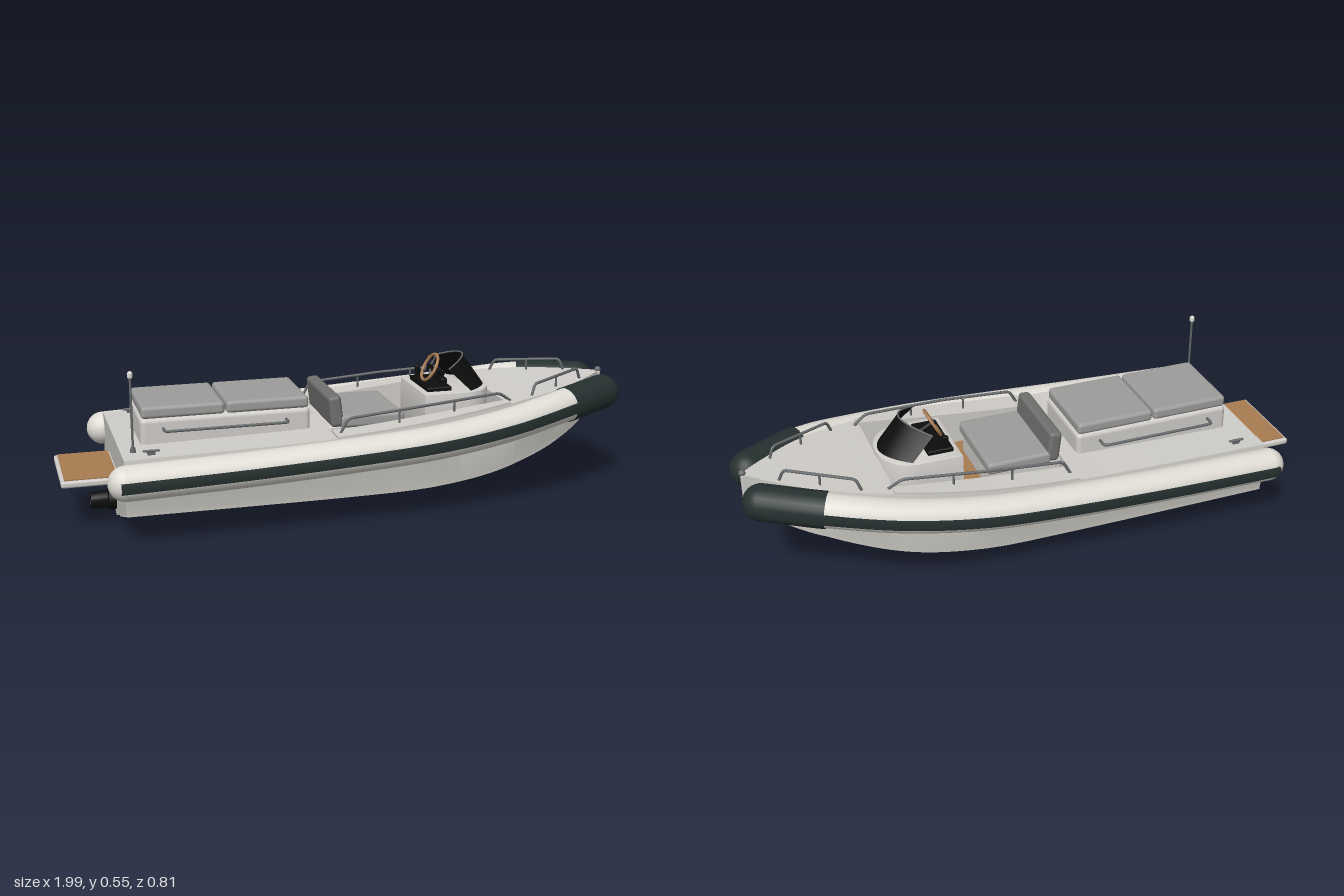
import * as THREE from 'three';
import { toCreasedNormals } from 'three/addons/utils/BufferGeometryUtils.js';
import { RoundedBoxGeometry } from 'three/addons/geometries/RoundedBoxGeometry.js';

const V = (x, y, z) => new THREE.Vector3(x, y, z);
const mat = (name, color, double) => {
  const m = new THREE.MeshStandardMaterial({ color });
  m.name = name;
  if (double) m.side = THREE.DoubleSide;
  return m;
};

// Smooth interpolation through [x, value] pairs
function spline(p) {
  const slope = i => {
    const a = p[Math.max(i - 1, 0)], b = p[Math.min(i + 1, p.length - 1)];
    return (b[1] - a[1]) / (b[0] - a[0]);
  };
  return x => {
    let i = 0;
    while (i < p.length - 2 && x > p[i + 1][0]) i++;
    const h = p[i + 1][0] - p[i][0], t = (x - p[i][0]) / h, u = 1 - t;
    return p[i][1] * u * u * (1 + 2 * t) + slope(i) * h * t * u * u
      + p[i + 1][1] * t * t * (3 - 2 * t) - slope(i + 1) * h * t * t * u;
  };
}
const steps = (a, b, n) => Array.from({ length: n + 1 }, (_, i) => a + (b - a) * i / n);

// Surface through rows of points
function loft(rows, crease = 0.35) {
  const n = rows[0].length, index = [];
  for (let i = 0; i < rows.length - 1; i++) for (let j = 0; j < n - 1; j++) {
    const a = i * n + j, b = a + n;
    index.push(a, a + 1, b, b, a + 1, b + 1);
  }
  const g = new THREE.BufferGeometry().setFromPoints(rows.flat());
  g.setIndex(index);
  return toCreasedNormals(g, crease);
}

// Lines of the boat
const tubeY = spline([[-.81, .218], [-.4, .233], [0, .254], [.25, .271], [.5, .297], [.74, .33], [.94, .339]]);
const tubeZ = spline([[-.81, .33], [-.4, .336], [0, .338], [.25, .329], [.5, .289], [.74, .215], [.93, .108]]);
const keelY = spline([[-.81, 0], [0, 0], [.2, .001], [.4, .012], [.6, .045], [.75, .1], [.87, .18], [.93, .24], [.96, .285]]);
const chineZ = spline([[-.81, .3], [0, .3], [.25, .298], [.5, .262], [.75, .165], [.9, .062], [.96, .003]]);
const chineY = spline([[-.81, .1], [0, .1], [.25, .11], [.5, .142], [.75, .205], [.9, .258], [.96, .288]]);
const deckW = spline([[-.81, .3], [0, .3], [.25, .293], [.5, .255], [.74, .17], [.9, .062], [.96, .012]]);
const deckY = spline([[-.81, .283], [-.1, .3], [.2, .325], [.52, .36], [.75, .378], [.96, .39]]);

// Half section with spray strakes and a chine flat
function hullSection(x) {
  const k = keelY(x), c = chineY(x), zc = chineZ(x), w = deckW(x);
  const flare = .02 * Math.min(1, Math.max(0, (.96 - x) / .3));
  const half = [[0, 0], [.36, .36], [.41, .36], [.41, .41], [.64, .64], [.69, .64], [.69, .69], [.94, .94], [1, .94]]
    .map(([t, u]) => V(x, k + (c - k) * u, zc * t));
  half.push(V(x, c + .008, zc), V(x, tubeY(x) - .02, w + flare), V(x, deckY(x), w));
  return [...half.slice(1).reverse().map(p => V(p.x, p.y, -p.z)), ...half];
}

export function createModel() {
  const hullGrey = mat('hull grey', 0xc6c4be, true), tubeWhite = mat('tube white', 0xdedbd4);
  const deckGrey = mat('deck grey', 0xd0cdc9, true), cushionGrey = mat('cushion grey', 0x9c9c9b);
  const teak = mat('teak', 0xa97c52), rubber = mat('dark rubber', 0x25302f, true);
  const black = mat('black', 0x0d0d0e, true), steel = mat('steel', 0x66696b);
  const backGrey = mat('backrest grey', 0x70716f);

  const boat = new THREE.Group();
  boat.name = 'inflatableBoat';
  const add = (name, geo, m, x = 0, y = 0, z = 0, parent = boat) => {
    const mesh = new THREE.Mesh(geo, m);
    mesh.name = name;
    mesh.position.set(x, y, z);
    parent.add(mesh);
    return mesh;
  };
  // Box given by its limits
  const box = (name, m, x0, x1, y0, y1, z0, z1, r = 0) => add(name,
    r ? new RoundedBoxGeometry(x1 - x0, y1 - y0, z1 - z0, 3, r) : new THREE.BoxGeometry(x1 - x0, y1 - y0, z1 - z0),
    m, (x0 + x1) / 2, (y0 + y1) / 2, (z0 + z1) / 2);
  // Bent pipe with short rounded corners
  const pipe = (name, pts, r, m = steel) => {
    const path = new THREE.CurvePath();
    let last = pts[0];
    for (let i = 1; i < pts.length - 1; i++) {
      const a = pts[i].clone().add(pts[i - 1].clone().sub(pts[i]).setLength(.014));
      const b = pts[i].clone().add(pts[i + 1].clone().sub(pts[i]).setLength(.014));
      path.add(new THREE.LineCurve3(last, a));
      path.add(new THREE.QuadraticBezierCurve3(a, pts[i], b));
      last = b;
    }
    path.add(new THREE.LineCurve3(last, pts[pts.length - 1]));
    return add(name, new THREE.TubeGeometry(path, pts.length > 2 ? 60 : 2, r, 8), m);
  };

  // Hull, transom and stem
  add('hull', loft([...steps(-.81, .3, 16), ...steps(.34, .96, 28)].map(hullSection)), hullGrey);
  const outline = hullSection(-.81).map(p => new THREE.Vector2(p.z, p.y));
  add('transom', new THREE.ShapeGeometry(new THREE.Shape(outline)).rotateY(-Math.PI / 2), hullGrey, -.81);
  box('stemPost', deckGrey, .945, .972, .283, .39, -.012, .012, .004);
  add('bowRoller', new THREE.SphereGeometry(.012, 12, 8), steel, .966, .393, 0);

  // Decks and sunken cockpit
  const A = -.105, B = .52, C = .217, floor = .21;
  const flat = x => [V(x, deckY(x), deckW(x)), V(x, deckY(x), -deckW(x))];
  add('aftDeck', loft(steps(-.81, A, 10).map(flat)), deckGrey);
  add('foredeck', loft(steps(B, .96, 16).map(flat)), deckGrey);
  box('cockpitFloor', teak, A, B, floor - .01, floor, -C, C);
  for (const [x, name] of [[A, 'aftBulkhead'], [B, 'forwardBulkhead']])
    box(name, deckGrey, x - .004, x + .004, floor - .01, deckY(x), -C, C);

  for (const s of [1, -1]) {
    const side = s > 0 ? 'left' : 'right';
    // Side decks
    add(side + 'Coaming', loft(steps(A, B, 14).map(x => {
      const y = deckY(x), w = deckW(x);
      return [V(x, y - .01, s * w), V(x, y + .007, s * w), V(x, y + .007, s * C), V(x, floor - .01, s * C)];
    })), deckGrey);
    for (const x of [A, B]) box(side + 'CoamingEnd', deckGrey, x - .002, x + .002, deckY(x) - .02, deckY(x) + .007,
      Math.min(s * C, s * deckW(x)), Math.max(s * C, s * deckW(x)));

    // Buoyancy tube with dark bow end
    const centre = x => V(x, tubeY(x), s * tubeZ(x));
    const run = (a, b, n) => new THREE.CatmullRomCurve3(steps(a, b, n).map(centre));
    add(side + 'Tube', new THREE.TubeGeometry(run(-.81, .76, 16), 64, .058, 24), tubeWhite);
    add(side + 'TubeEnd', new THREE.SphereGeometry(.058, 24, 16), tubeWhite, ...centre(-.81).toArray());
    add(side + 'BowTube', new THREE.TubeGeometry(run(.74, .93, 6), 16, .062, 24), rubber);
    add(side + 'BowCap', new THREE.SphereGeometry(.062, 24, 16), rubber, ...centre(.93).toArray());

    // Rubbing strake along the outer side
    add(side + 'RubStrake', loft(steps(-.83, .9, 60).map(x => {
      const c = centre(x), t = centre(x + .005).sub(centre(x - .005)).setY(0).normalize();
      const out = V(-t.z * s, 0, t.x * s);
      return [[-.32, .054], [-.26, .066], [0, .067], [.26, .066], [.32, .054]].map(([a, r]) =>
        c.clone().addScaledVector(out, r * Math.cos(a)).add(V(0, r * Math.sin(a), 0)));
    }), .5), rubber);

    // Grab rails
    const on = (x, z, h) => V(x, deckY(x) + h, s * z);
    pipe(side + 'SideRail', [on(-.09, .258, 0), on(-.06, .256, .052), on(.2, .25, .05), on(.49, .222, .036), on(.535, .212, 0)], .005);
    for (const [x, z] of [[.12, .252], [.32, .238]]) pipe(side + 'SideRailPost', [on(x, z, 0), on(x, z, .046)], .004);
    pipe(side + 'BowRail', [on(.62, .2, 0), on(.635, .19, .038), on(.845, .078, .04), on(.86, .07, 0)], .005);
    pipe(side + 'BowRailPost', [on(.74, .134, 0), on(.74, .134, .038)], .004);
    pipe(side + 'LockerRail', [V(-.66, .336, s * .14), V(-.66, .336, s * .185), V(-.245, .336, s * .185), V(-.245, .336, s * .14)], .005);

    // Stern cleats
    box(side + 'CleatBase', steel, -.73, -.705, .28, .297, s * .262 - .004, s * .262 + .004);
    box(side + 'CleatBar', steel, -.745, -.69, .295, .302, s * .262 - .005, s * .262 + .005, .003);
  }

  // Engine locker with sunbed cushions
  box('engineLocker', deckGrey, -.735, -.16, .26, .372, -.145, .145, .018);
  box('aftCushion', cushionGrey, -.73, -.452, .368, .41, -.142, .142, .013);
  box('forwardCushion', cushionGrey, -.446, -.165, .368, .41, -.142, .142, .013);

  // Helm seat
  box('seatBase', deckGrey, -.1, .16, floor, .3, -.15, .15, .01);
  box('seatCushion', cushionGrey, -.06, .17, .29, .334, -.158, .158, .013);
  box('seatBack', backGrey, -.095, -.05, .295, .405, -.158, .158, .014).rotation.z = .12;

  // Console, rounded at the front
  const plan = new THREE.Shape();
  plan.moveTo(.255, -.133).lineTo(.41, -.133).bezierCurveTo(.55, -.12, .55, .12, .41, .133).lineTo(.255, .133).closePath();
  const consoleGeo = new THREE.ExtrudeGeometry(plan, { depth: .165, bevelEnabled: true, bevelSize: .004, bevelThickness: .006, bevelSegments: 2, curveSegments: 20 });
  add('console', toCreasedNormals(consoleGeo.rotateX(-Math.PI / 2), .6), deckGrey, 0, floor, 0);
  box('dashboard', black, .272, .362, .375, .396, -.1, .1, .006);
  box('instrumentPod', black, .34, .365, .39, .412, -.045, .045, .006);
  box('throttle', black, .285, .305, .39, .435, -.09, -.075, .005);

  // Windscreen and its rim
  const base = a => V(.508 - .085 * a * a, .382, .125 * a);
  const top = a => V(.43 - .085 * a * a, .492 - .034 * a * a, .106 * a);
  const arc = steps(-1, 1, 24);
  add('windscreen', loft(arc.map(a => [base(a), top(a)]), 1), black);
  add('windscreenRim', new THREE.TubeGeometry(new THREE.CatmullRomCurve3(arc.map(top)), 40, .003, 6), steel);

  // Steering wheel
  const wheel = new THREE.Group();
  wheel.name = 'steeringWheel';
  wheel.position.set(.313, .445, 0);
  wheel.rotation.set(0, -Math.PI / 2, 0);
  const tilt = new THREE.Group();
  tilt.name = 'wheelTilt';
  tilt.rotation.x = -.5;
  wheel.add(tilt);
  boat.add(wheel);
  add('wheelRim', new THREE.TorusGeometry(.05, .0055, 10, 36), teak, 0, 0, 0, tilt);
  add('wheelHub', new THREE.CylinderGeometry(.012, .012, .014, 16).rotateX(Math.PI / 2), black, 0, 0, 0, tilt);
  add('wheelColumn', new THREE.CylinderGeometry(.008, .01, .06, 12).rotateX(Math.PI / 2), black, 0, 0, -.03, tilt);
  for (let i = 0; i < 3; i++) {
    const g = new THREE.BoxGeometry(.007, .048, .004).translate(0, .024, 0).rotateZ(i * Math.PI * 2 / 3);
    add('wheelSpoke', g, steel, 0, 0, 0, tilt);
  }

  // Swim platform and jet outlet
  box('swimPlatform', deckGrey, -1, -.8, .16, .183, -.158, .158, .008);
  box('platformTeak', teak, -.988, -.815, .18, .187, -.147, .147);
  const jet = [[0, -.02], [.036, -.02], [.036, .03], [.03, .034], [.03, .06], [.027, .09], [.02, .09], [.018, .05], [0, .05]]
    .map(p => new THREE.Vector2(...p));
  add('jetOutlet', toCreasedNormals(new THREE.LatheGeometry(jet, 20), .6), black, -.805, .06, 0).rotation.z = Math.PI / 2;

  // Antenna
  add('antennaBase', new THREE.CylinderGeometry(.008, .01, .02, 12), steel, -.77, .29, .215);
  add('antennaMast', new THREE.CylinderGeometry(.004, .004, .25, 10), steel, -.77, .41, .215);
  add('antennaTip', new THREE.CapsuleGeometry(.009, .008, 6, 12), tubeWhite, -.77, .54, .215);

  return boat;
}
